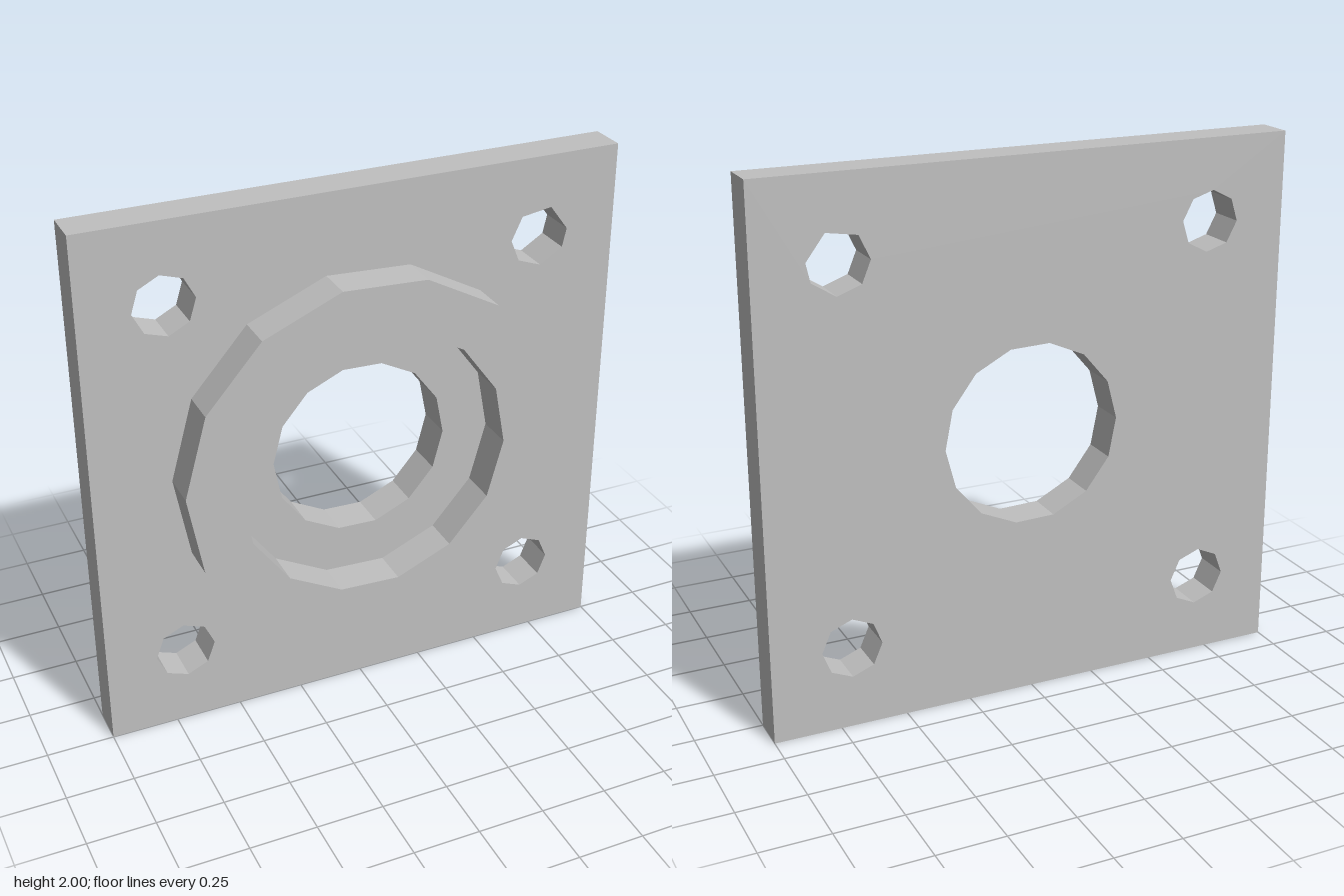
import * as THREE from 'three';

const DEPTH = 0.14;

// Points at the given angles (degrees) on a circle
function arcPoints(cx, cy, r, angles) {
  return angles.map((a) => {
    const t = THREE.MathUtils.degToRad(a);
    return new THREE.Vector2(cx + r * Math.cos(t), cy + r * Math.sin(t));
  });
}

// Angles of a regular polygon with its first corner at `start`
const regular = (n, start) => Array.from({ length: n }, (_, i) => start + (i * 360) / n);

export function createModel() {
  const model = new THREE.Group();
  model.name = 'flangePlate';
  const steel = new THREE.MeshStandardMaterial({ color: 0xc0c0c0, flatShading: true });
  steel.name = 'plain grey steel';

  function addPart(name, outline, holes, z) {
    const shape = new THREE.Shape(outline);
    holes.forEach((points) => shape.holes.push(new THREE.Path(points)));
    const geometry = new THREE.ExtrudeGeometry(shape, { depth: DEPTH, bevelEnabled: false });
    const mesh = new THREE.Mesh(geometry, steel);
    mesh.name = name;
    mesh.position.z = z;
    model.add(mesh);
  }

  // Square base plate with a central bore and four corner bolt holes
  const corners = [[-1, 0], [1, 0], [1, 2], [-1, 2]].map(([x, y]) => new THREE.Vector2(x, y));
  const boltHoles = [
    [-0.7, 0.307, regular(8, 2)],
    [0.7, 0.307, regular(8, 1)],
    [-0.7, 1.7, regular(8, 5)],
    [0.7, 1.7, [6, 68, 130, 180, 225, 275, 329]], // one corner fewer
  ].map(([x, y, angles]) => arcPoints(x, y, 0.112, angles));
  const bore = arcPoints(0, 1, 0.335, regular(14, -1.8));
  addPart('basePlate', corners, [bore, ...boltHoles], -DEPTH);

  // Raised collar around the bore
  addPart(
    'raisedCollar',
    arcPoints(0, 1, 0.711, regular(14, -2.8)),
    [arcPoints(0, 1, 0.515, regular(14, -2.4))],
    0,
  );

  return model;
}
